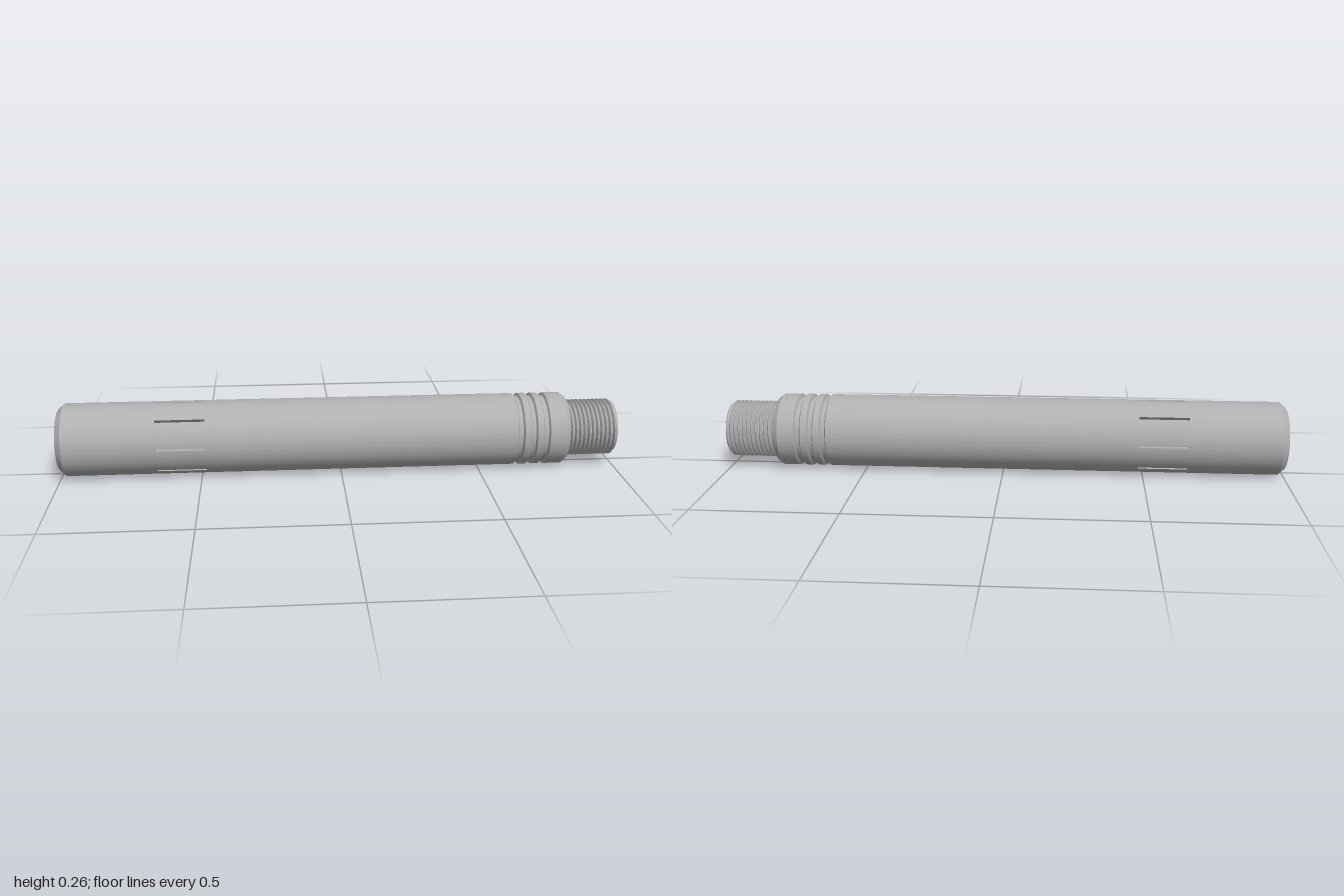
import * as THREE from 'three';
import { toCreasedNormals } from 'three/addons/utils/BufferGeometryUtils.js';

const R = 0.13, BORE = 0.077;          // outer and bore radius
const SLOT_START = -0.655, SLOT_END = -0.48;
const ROOT = 0.092, CREST = 0.102;     // thread radii
const SHOULDER = 0.82;

export function createModel() {
  const group = new THREE.Group();
  const steel = new THREE.MeshStandardMaterial({ color: 0xb0b0b0 });
  steel.name = 'steelGrey';

  const add = (name, geometry) => {
    const mesh = new THREE.Mesh(toCreasedNormals(geometry, 0.4), steel);
    mesh.name = name;
    mesh.position.y = R;
    group.add(mesh);
  };

  // Turned part along x; the [x, radius] outline is closed through the bore
  const turned = (name, outline) => {
    const first = outline[0][0], last = outline[outline.length - 1][0];
    const pts = [[first, BORE], ...outline, [last, BORE], [first, BORE]];
    const g = new THREE.LatheGeometry(pts.map(([x, r]) => new THREE.Vector2(r, x)), 128);
    add(name, g.rotateZ(-Math.PI / 2));
  };

  // Chamfered rear end
  turned('rearEnd', [[-1, 0.11], [-0.978, R], [SLOT_START, R]]);

  // Slotted section: ring with eight narrow notches, extruded along x
  const ring = new THREE.Shape();
  const floor = R - 0.018, half = 0.0045;
  for (let k = 0; k < 8; k++) {
    const a = k * Math.PI / 4, next = a + Math.PI / 4;
    ring.absarc(0, 0, R, a + half / R, next - half / R, false);
    ring.absarc(0, 0, floor, next - half / floor, next + half / floor, false);
  }
  ring.closePath();
  const hole = new THREE.Path();
  hole.absarc(0, 0, BORE, 0, Math.PI * 2, true);
  ring.holes.push(hole);
  const slotted = new THREE.ExtrudeGeometry(ring, {
    depth: SLOT_END - SLOT_START, bevelEnabled: false, curveSegments: 16,
  });
  add('slottedSection', slotted.rotateY(Math.PI / 2).translate(SLOT_START, 0, 0));

  // Main barrel with three ring grooves, chamfered shoulder and threaded core
  const barrel = [[SLOT_END, R]];
  for (const x of [0.64, 0.686, 0.732]) {
    barrel.push([x - 0.012, R], [x - 0.007, R - 0.009], [x + 0.007, R - 0.009], [x + 0.012, R]);
  }
  barrel.push([0.803, R], [SHOULDER, 0.117], [SHOULDER, ROOT], [1, ROOT]);
  turned('barrel', barrel);

  // Helical thread: rows of vertices follow the helix and stop at both ends
  const pitch = 0.0155, around = 96;
  const profile = [[0, ROOT], [0.15, ROOT], [0.5, CREST], [0.65, CREST], [1, ROOT]];
  const radiusAt = (x, phase) => {
    let i = 0;
    while (i < 3 && phase > profile[i + 1][0]) i++;
    const [p0, r0] = profile[i], [p1, r1] = profile[i + 1];
    const r = r0 + (r1 - r0) * (phase - p0) / (p1 - p0);
    return Math.min(r, ROOT + 1 - x, ROOT + (x - SHOULDER));
  };
  const rows = [];
  const turns = Math.ceil((1 - SHOULDER) / pitch);
  for (let t = -1; t <= turns; t++) {
    for (const p of [0, 0.15, 0.5, 0.65]) rows.push(t + p);
  }
  const positions = [], index = [];
  rows.forEach((t, j) => {
    for (let i = 0; i <= around; i++) {
      const a = i / around * Math.PI * 2;
      const x = THREE.MathUtils.clamp(SHOULDER + pitch * (t + i / around), SHOULDER, 1);
      const turn = (x - SHOULDER) / pitch - i / around;
      const r = radiusAt(x, THREE.MathUtils.euclideanModulo(turn + 1e-7, 1));
      positions.push(x, r * Math.cos(a), r * Math.sin(a));
      if (j && i) {
        const d = j * (around + 1) + i, c = d - 1, b = d - around - 1, e = b - 1;
        index.push(e, b, c, b, d, c);
      }
    }
  });
  const thread = new THREE.BufferGeometry();
  thread.setAttribute('position', new THREE.Float32BufferAttribute(positions, 3));
  thread.setIndex(index);
  add('thread', thread);

  return group;
}
